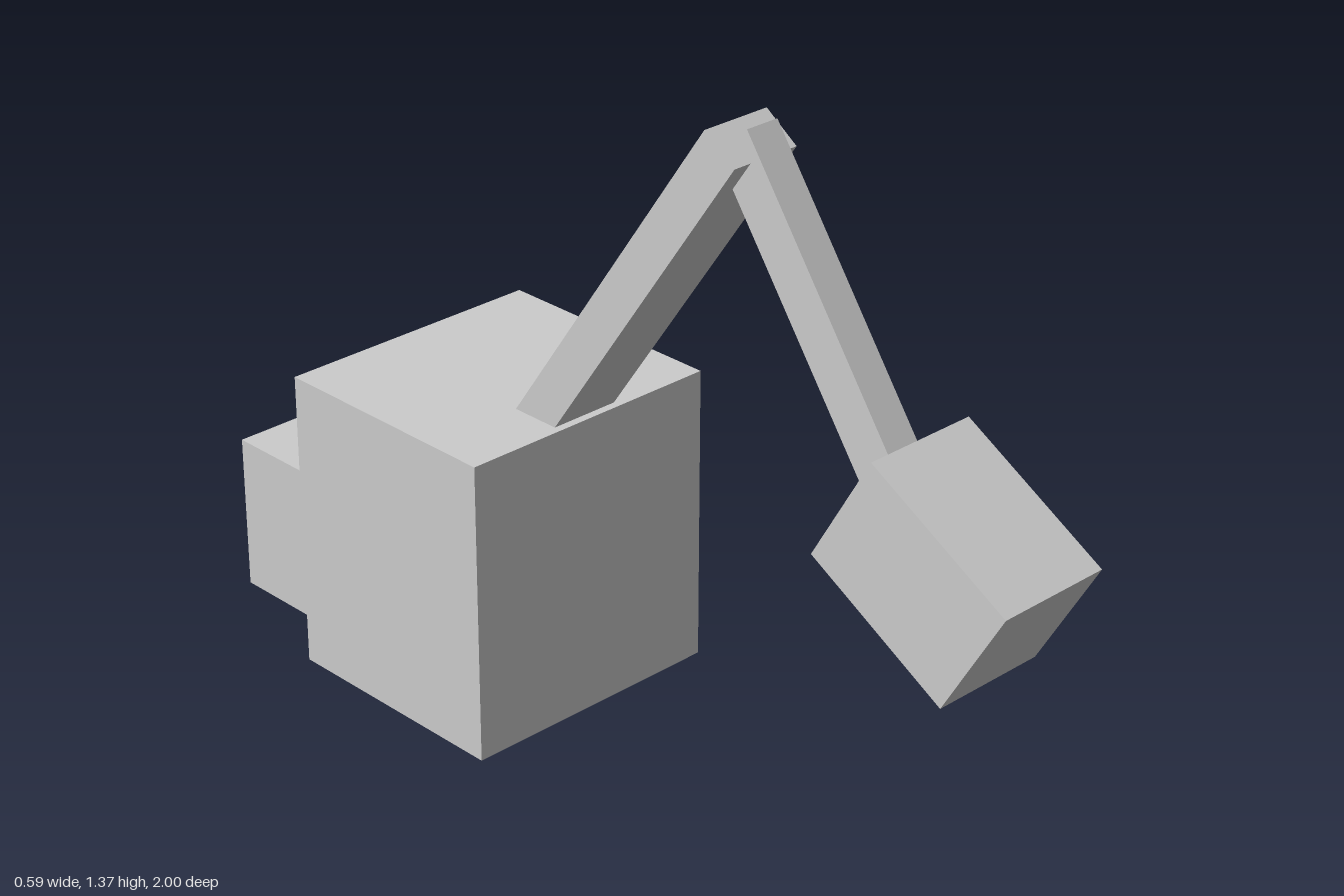
import * as THREE from 'three';

const material = new THREE.MeshStandardMaterial({ color: 0xcccccc, flatShading: true });

// Box given by size, centre height and depth, and tilt about x in degrees
function block(name, [w, h, d], y, z, tilt = 0) {
  const mesh = new THREE.Mesh(new THREE.BoxGeometry(w, h, d), material);
  mesh.name = name;
  mesh.position.set(0, y, z);
  mesh.rotation.x = THREE.MathUtils.degToRad(tilt);
  return mesh;
}

export function createModel() {
  const model = new THREE.Group();
  model.name = 'excavator';
  model.add(
    // Main body with a lower block behind it
    block('cab', [0.59, 0.64, 0.53], 0.32, -0.4),
    block('engine', [0.37, 0.34, 0.335], 0.17, -0.8325),
    // Jointed arm: wide boom rising forward, narrow stick dropping to the bucket
    block('boom', [0.154, 0.93, 0.09], 0.95, 0.01, 35),
    block('stick', [0.075, 0.7, 0.096], 1.051, 0.465, -35),
    block('bucket', [0.25, 0.264, 0.357], 0.695, 0.78, 30),
  );
  return model;
}
